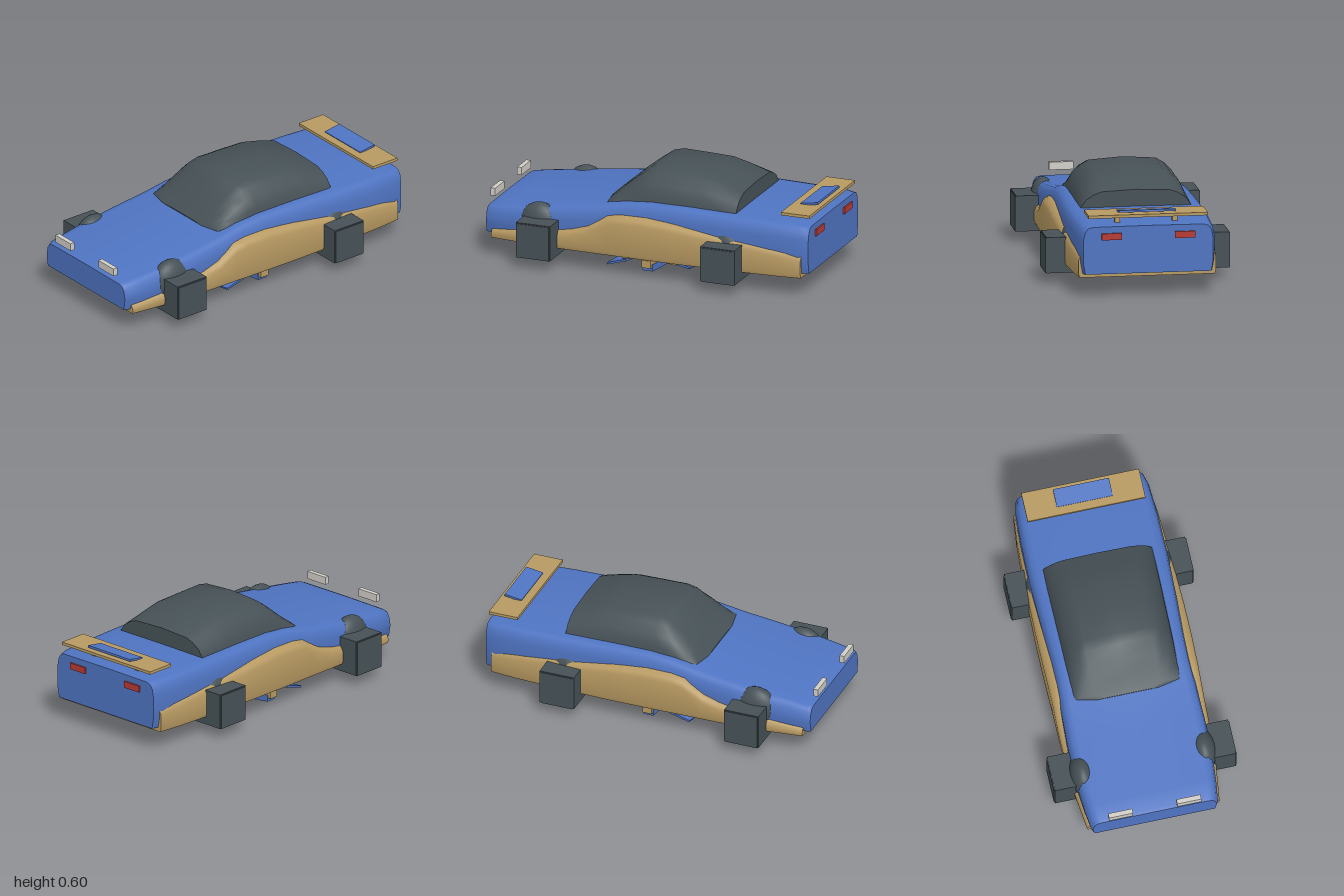
import * as THREE from 'three';
import { mergeVertices, toCreasedNormals } from 'three/addons/utils/BufferGeometryUtils.js';

const paint = (name, color) => {
  const m = new THREE.MeshStandardMaterial({ color });
  m.name = name;
  return m;
};

// Closed loft: each station is { z, half }, half = right-hand points from bottom centre to top centre
function loft(stations, crease = 0.75) {
  const pos = [], idx = [];
  const rings = stations.map(({ z, half }) => {
    const left = half.slice(1, -1).reverse().map(([x, y]) => [-x, y]);
    return [...half, ...left].map(([x, y]) => [x, y, z]);
  });
  const n = rings[0].length;
  rings.forEach(r => r.forEach(p => pos.push(...p)));
  for (let i = 0; i < rings.length - 1; i++) {
    for (let j = 0; j < n; j++) {
      const k = (j + 1) % n, a = i * n + j, b = i * n + k;
      idx.push(a, b, b + n, a, b + n, a + n);
    }
  }
  // End caps
  [0, rings.length - 1].forEach(i => {
    const c = pos.length / 3, h = stations[i].half;
    pos.push(0, (h[0][1] + h[h.length - 1][1]) / 2, stations[i].z);
    for (let j = 0; j < n; j++) {
      const a = i * n + j, b = i * n + (j + 1) % n;
      if (i === 0) idx.push(c, b, a); else idx.push(c, a, b);
    }
  });
  const g = new THREE.BufferGeometry();
  g.setAttribute('position', new THREE.Float32BufferAttribute(pos, 3));
  g.setIndex(idx);
  return toCreasedNormals(mergeVertices(g), crease);
}

export function createModel() {
  const car = new THREE.Group();
  car.name = 'car';
  const blue = paint('body blue', 0x4f74c2);
  const tan = paint('trim tan', 0xb89a62);
  const dark = paint('dark grey', 0x465156);
  const white = paint('lamp white', 0xd2cfc8);
  const red = paint('lamp red', 0xb83a34);

  const add = (name, geo, mat, x = 0, y = 0, z = 0) => {
    const m = new THREE.Mesh(geo, mat);
    m.name = name;
    m.position.set(x, y, z);
    car.add(m);
    return m;
  };
  // Box given by its limits
  const block = (name, mat, x0, x1, y0, y1, z0, z1) =>
    add(name, new THREE.BoxGeometry(x1 - x0, y1 - y0, z1 - z0), mat,
      (x0 + x1) / 2, (y0 + y1) / 2, (z0 + z1) / 2);

  // Upper body: z, half width, top height
  const hull = [
    [-0.99, 0.372, 0.415], [-0.93, 0.388, 0.42], [-0.75, 0.398, 0.424], [-0.5, 0.402, 0.428],
    [-0.25, 0.395, 0.432], [0, 0.385, 0.43], [0.15, 0.385, 0.415], [0.3, 0.392, 0.386],
    [0.5, 0.398, 0.36], [0.7, 0.398, 0.332], [0.88, 0.382, 0.31], [0.97, 0.37, 0.298], [0.99, 0.36, 0.29],
  ].map(([z, w, t]) => ({
    z,
    half: [[0, 0.14], [w * 0.97, 0.14], [w, 0.2], [w, t - 0.08], [w * 0.975, t - 0.035],
      [w * 0.93, t - 0.01], [w * 0.85, t - 0.002], [0, t]],
  }));
  add('upperBody', loft(hull), blue);

  // Lower body swelling outside the upper body: z, half width, visible top
  const sill = [
    [-0.95, 0.394, 0.262], [-0.8, 0.41, 0.28], [-0.6, 0.42, 0.3], [-0.45, 0.426, 0.312],
    [-0.2, 0.432, 0.34], [0, 0.432, 0.355], [0.15, 0.43, 0.352], [0.23, 0.428, 0.34],
    [0.35, 0.427, 0.27], [0.45, 0.426, 0.242], [0.7, 0.416, 0.208], [0.95, 0.385, 0.178],
  ].map(([z, w, t]) => ({
    z,
    half: [[0, 0.115], [w * 0.985, 0.115], [w, 0.135], [w, t - 0.045], [w - 0.012, t - 0.018],
      [w - 0.042, t], [0.3, t], [0, t]],
  }));
  add('lowerBody', loft(sill), tan);

  // Cabin canopy: z, half width, top height
  const cabin = [
    [-0.525, 0.328, 0.525], [-0.4, 0.327, 0.568], [-0.3, 0.326, 0.594], [-0.15, 0.324, 0.6],
    [0, 0.322, 0.604], [0.06, 0.321, 0.588], [0.13, 0.319, 0.535], [0.21, 0.317, 0.465],
    [0.27, 0.313, 0.41], [0.295, 0.19, 0.392],
  ].map(([z, w, t]) => {
    const h = t - 0.38;
    return {
      z,
      half: [[0, 0.38], [w, 0.38], [w * 0.96, 0.38 + h * 0.35], [w * 0.87, 0.38 + h * 0.63],
        [w * 0.74, 0.38 + h * 0.82], [w * 0.6, 0.38 + h * 0.94], [0, t]],
    };
  });
  add('canopy', loft(cabin), dark);

  // Block wheels, arches and lamps on both sides
  for (const s of [1, -1]) {
    const side = (name, mat, x0, x1, ...r) => block(name, mat, Math.min(s * x0, s * x1), Math.max(s * x0, s * x1), ...r);
    for (const [label, z] of [['front', 0.635], ['rear', -0.495]]) {
      side(label + 'Wheel', dark, 0.09, 0.525, 0.07, 0.277, z - 0.105, z + 0.105);
      side(label + 'WheelFace', dark, 0.42, 0.53, 0.07, 0.271, z - 0.098, z + 0.098);
    }
    const arch = new THREE.SphereGeometry(1, 24, 16);
    add('frontArch', arch, dark, s * 0.352, 0.232, 0.66).scale.set(0.072, 0.124, 0.122);
    add('rearArch', arch, dark, s * 0.36, 0.222, -0.49).scale.set(0.068, 0.117, 0.12);
    side('headlight', white, 0.128, 0.268, 0.325, 0.37, 0.972, 1);
    side('tailLight', red, 0.152, 0.268, 0.338, 0.376, -1, -0.985);
    side('spoilerPost', tan, 0.15, 0.18, 0.41, 0.465, -0.91, -0.885);
  }

  // Rear wing with a tilted flap
  block('spoiler', tan, -0.342, 0.342, 0.462, 0.479, -0.985, -0.81);
  add('spoilerFlap', new THREE.BoxGeometry(0.325, 0.012, 0.105), blue, 0, 0.486, -0.91).rotation.x = 0.15;

  // Curved slats under the floor, lowest at the centre line
  const slat = (name, mat, halfWidth, depth, thick, bend, taper, y, z, tilt) => {
    const g = new THREE.BoxGeometry(halfWidth * 2, thick, depth, 12, 1, 1);
    const p = g.attributes.position;
    for (let i = 0; i < p.count; i++) {
      const u = (p.getX(i) / halfWidth) ** 2;
      p.setY(i, p.getY(i) + bend * u);
      p.setZ(i, p.getZ(i) * (1 - taper * u));
    }
    g.computeVertexNormals();
    add(name, toCreasedNormals(g, 0.6), mat, 0, y, z).rotation.x = tilt;
  };
  slat('underRib', blue, 0.36, 0.06, 0.04, 0.025, 0, 0.025, 0, 0);
  slat('underRibCore', tan, 0.38, 0.055, 0.045, 0.012, 0, 0.062, 0, 0);
  slat('underFrontPanel', blue, 0.36, 0.16, 0.012, 0.025, 0.25, 0.035, 0.185, 0.28);
  slat('underFrontSlat', tan, 0.34, 0.14, 0.01, 0.02, 0.1, 0.07, 0.1, 0.15);
  slat('underRearSlat', tan, 0.36, 0.14, 0.01, 0.02, 0.1, 0.075, -0.11, -0.1);
  slat('underRearPanel', blue, 0.36, 0.15, 0.012, 0.02, 0.25, 0.07, -0.195, -0.2);
  slat('underRearInset', tan, 0.13, 0.06, 0.008, 0.01, 0.4, 0.062, -0.17, -0.2);
  // Hub joining the slats to the floor
  block('underHub', tan, -0.09, 0.09, 0.07, 0.12, -0.03, 0.03);
  return car;
}
